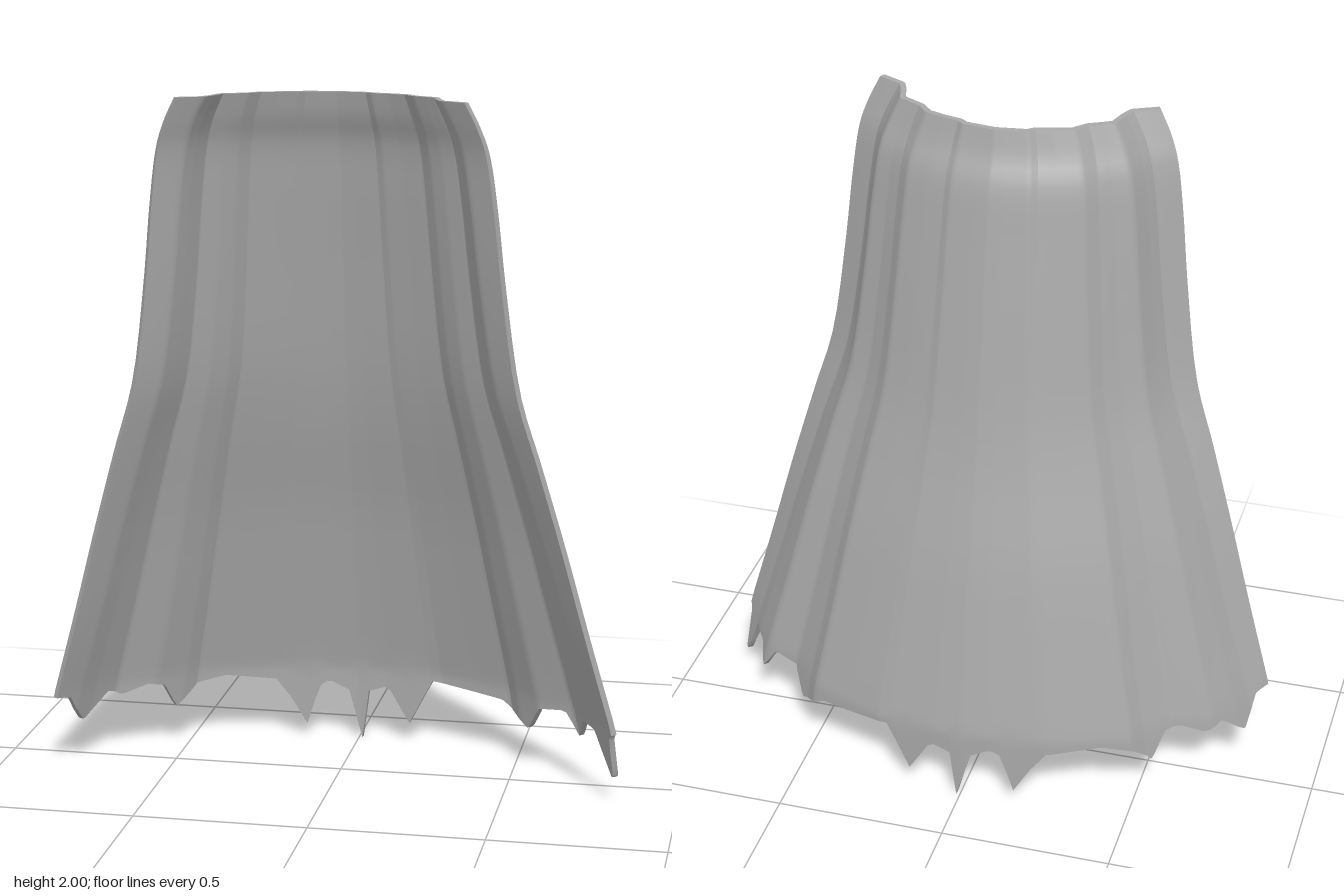
import * as THREE from 'three';

// Fold stations from the centre to the model's left edge: [top x, top z, hem x, hem z]
const HALF = [
  [0, 0.058, 0, -0.305], [0.03, 0.062, 0.08, -0.3], [0.088, 0.07, 0.22, -0.282],
  [0.105, 0.085, 0.26, -0.275], [0.15, 0.096, 0.37, -0.235], [0.205, 0.115, 0.48, -0.192],
  [0.235, 0.15, 0.51, -0.145], [0.265, 0.166, 0.58, -0.075], [0.3, 0.185, 0.69, -0.03],
  [0.315, 0.24, 0.74, 0.05], [0.33, 0.275, 0.77, 0.11], [0.4, 0.31, 0.82, 0.18],
];
const STATIONS = [...HALF.slice(1).reverse().map(([a, b, c, d]) => [-a, b, -c, d]), ...HALF];

// How far the cloth has flared at each height: (y, sideways blend, backward blend)
const FLARE = new THREE.CatmullRomCurve3([
  [2, 0, 0], [1.93, 0.08, 0.05], [1.85, 0.14, 0.14], [1.7, 0.19, 0.21], [1.5, 0.24, 0.3],
  [1.2, 0.34, 0.43], [1, 0.48, 0.54], [0.75, 0.65, 0.71], [0.5, 0.81, 0.85], [0.26, 0.97, 0.98],
].map((p) => new THREE.Vector3(...p)));

// Ragged hem: [x, y]
const HEM = [
  [-0.83, 0.23], [-0.79, 0.22], [-0.75, 0.13], [-0.71, 0.2], [-0.67, 0.18], [-0.6, 0.21],
  [-0.56, 0.2], [-0.52, 0.12], [-0.48, 0.18], [-0.4, 0.2], [-0.25, 0.18], [-0.2, 0.12],
  [-0.15, 0.04], [-0.12, 0.16], [-0.09, 0.18], [-0.03, 0.15], [0.01, 0], [0.03, 0.15],
  [0.09, 0.17], [0.15, 0.06], [0.2, 0.15], [0.23, 0.2], [0.45, 0.18], [0.53, 0.12],
  [0.58, 0.2], [0.66, 0.21], [0.69, 0.14], [0.72, 0.2], [0.76, 0.2], [0.785, 0.06],
  [0.81, 0.21], [0.83, 0.22],
];

const lerp = THREE.MathUtils.lerp;
const STEPS = 8, COLS = (STATIONS.length - 1) * STEPS;
const BODY = 32, FRINGE = 5, ROWS = BODY + FRINGE;
const THICK = 0.009;

function hemAt(x) {
  const k = Math.max(1, HEM.findIndex((p) => p[0] >= x));
  const [a, b] = [HEM[k - 1], HEM[k]];
  return lerp(a[1], b[1], (x - a[0]) / (b[0] - a[0]));
}

function station(i) {
  const k = Math.min(Math.floor(i / STEPS), STATIONS.length - 2);
  return STATIONS[k].map((v, n) => lerp(v, STATIONS[k + 1][n], i / STEPS - k));
}

function clothPoint(i, j) {
  const [tx, tz, bx, bz] = station(i);
  const f = FLARE.getPoint(Math.min(j / BODY, 1));
  let [y, wx, wz] = [f.x, f.y, f.z];
  if (j > BODY) {
    // last rows reach down into the torn points
    y = lerp(f.x, hemAt(bx), (j - BODY) / FRINGE);
    wx += (f.x - y) * 0.6;
    wz += Math.min(f.x - y, 0.04) * 0.5;
  }
  return new THREE.Vector3(lerp(tx, bx, wx), y, lerp(tz, bz, wz));
}

function makeGeometry(points, index) {
  const g = new THREE.BufferGeometry().setFromPoints(points);
  g.setIndex(index);
  g.computeVertexNormals();
  return g;
}

export function createModel() {
  const group = new THREE.Group();
  group.name = 'cape';
  const cloth = new THREE.MeshStandardMaterial({ color: 0xa8a8a8 });
  cloth.name = 'greyCloth';
  const add = (name, geometry) => {
    const mesh = new THREE.Mesh(geometry, cloth);
    mesh.name = name;
    group.add(mesh);
  };

  // Middle sheet of the cloth
  const at = (i, j) => j * (COLS + 1) + i;
  const mid = [], front = [], back = [];
  for (let j = 0; j <= ROWS; j++) for (let i = 0; i <= COLS; i++) mid.push(clothPoint(i, j));
  for (let j = 0; j < ROWS; j++) {
    for (let i = 0; i < COLS; i++) {
      const [a, b, c, d] = [at(i, j), at(i, j + 1), at(i + 1, j), at(i + 1, j + 1)];
      front.push(a, b, c, c, b, d);
      back.push(a, c, b, c, d, b);
    }
  }

  // Lining and outside, pushed apart to give the cloth thickness
  const normals = makeGeometry(mid, front).attributes.normal;
  const shift = (s) => mid.map((p, k) => {
    const n = new THREE.Vector3().fromBufferAttribute(normals, k);
    n.y = 0;
    return p.clone().addScaledVector(n, s);
  });
  const inner = shift(THICK), outer = shift(-THICK);
  add('lining', makeGeometry(inner, front));
  add('outside', makeGeometry(outer, back));

  // Edge strips: collar, left side, hem, right side
  const range = (n, f) => Array.from({ length: n + 1 }, (_, k) => f(k));
  const edges = {
    collarEdge: range(COLS, (k) => at(k, 0)),
    leftEdge: range(ROWS, (k) => at(COLS, k)),
    hemEdge: range(COLS, (k) => at(COLS - k, ROWS)),
    rightEdge: range(ROWS, (k) => at(0, ROWS - k)),
  };
  for (const [name, loop] of Object.entries(edges)) {
    const points = loop.flatMap((k) => [inner[k], outer[k]]);
    const index = [];
    for (let k = 0; k < loop.length - 1; k++) {
      const p = 2 * k;
      index.push(p, p + 2, p + 1, p + 1, p + 2, p + 3);
    }
    add(name, makeGeometry(points, index));
  }
  return group;
}
